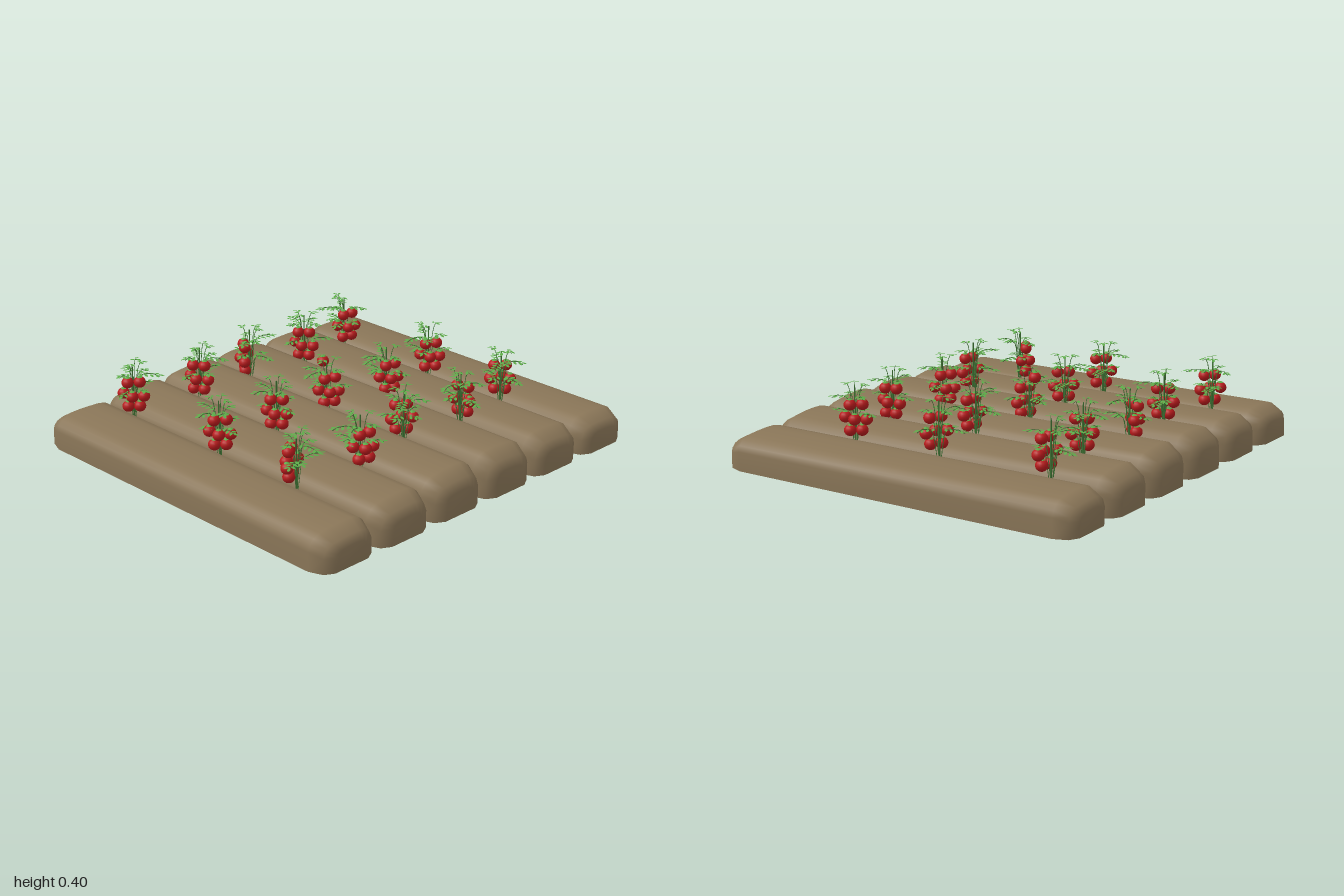
import * as THREE from 'three';
import { mergeGeometries } from 'three/addons/utils/BufferGeometryUtils.js';

const material = (name, color, side = THREE.FrontSide) => {
  const m = new THREE.MeshStandardMaterial({ color, side });
  m.name = name;
  return m;
};

// Soil mound: one arched section lofted along x, shrinking at both ends, open below
function moundGeometry(height) {
  const section = [[-1, 0], [-1, 0.55], [-0.95, 0.72], [-0.82, 0.86], [-0.6, 0.94], [-0.25, 0.98],
    [0.15, 1], [0.5, 0.99], [0.74, 0.93], [0.9, 0.8], [1, 0.55], [1, 0]];
  const ends = [[0.935, 0.095, 0.6], [0.91, 0.14, 0.8], [0.845, 0.165, 1]];
  const stations = [...ends.map(([x, w, t]) => [-x, w, t]), ...ends.slice().reverse()];
  const n = section.length, pos = [], idx = [];
  for (const [x, w, t] of stations)
    for (const [z, y] of section) pos.push(x, y * height * t, z * w);
  for (let i = 0; i < stations.length - 1; i++)
    for (let j = 0; j < n - 1; j++) {
      const a = i * n + j, c = a + n;
      idx.push(a, a + 1, c, a + 1, c + 1, c);
    }
  // End faces
  const last = (stations.length - 1) * n;
  for (let j = 1; j < n - 1; j++) {
    idx.push(0, j + 1, j);
    idx.push(last, last + j, last + j + 1);
  }
  const g = new THREE.BufferGeometry();
  g.setAttribute('position', new THREE.Float32BufferAttribute(pos, 3));
  g.setIndex(idx);
  g.computeVertexNormals();
  return g;
}

// Pointed flat leaflet growing along +x from the origin
function leafletGeometry() {
  const s = new THREE.Shape();
  s.moveTo(0, 0);
  s.quadraticCurveTo(0.014, 0.015, 0.032, 0);
  s.quadraticCurveTo(0.014, -0.015, 0, 0);
  return new THREE.ShapeGeometry(s, 3).rotateX(-Math.PI / 2);
}

const deg = Math.PI / 180;

// Plants: x, z, fruit direction, then directions of leaf arms (degrees from +x towards +z)
const plants = [
  [-0.62, -0.66, 0, 190, 120, 70, 330],
  [-0.04, -0.67, 20, 172, 100, 300, 50],
  [0.43, -0.67, 220, 5, 65, 180, 330],
  [-0.58, -0.34, 45, 310, 190, 95, 250],
  [0.01, -0.32, 0, 183, 95, 335, 130],
  [0.47, -0.34, 250, 10, 85, 180, 335],
  [-0.62, -0.01, 120, 350, 285, 185, 60],
  [-0.07, 0.0, 10, 205, 90, 315, 150],
  [0.43, 0.0, 200, 255, 55, 140, 320],
  [-0.61, 0.32, 50, 262, 330, 85, 210],
  [-0.05, 0.34, 40, 255, 180, 0, 120],
  [0.49, 0.34, 0, 172, 115, 310, 70],
  [-0.67, 0.68, 30, 255, 320, 70, 200],
  [-0.06, 0.68, 30, 255, 180, 0, 100],
  [0.43, 0.67, 140, 280, 358, 60, 200],
];

export function createModel() {
  const model = new THREE.Group();
  const soil = material('soil', 0x8a7658, THREE.DoubleSide);
  const leafGreen = material('leafGreen', 0x5cab48, THREE.DoubleSide);
  const stemGreen = material('stemGreen', 0x3f7434);
  const tomatoRed = material('tomatoRed', 0xb81a1c);

  const add = (parent, name, geometry, mat) => {
    const mesh = new THREE.Mesh(geometry, mat);
    mesh.name = name;
    parent.add(mesh);
    return mesh;
  };

  // Six parallel mounds, lower towards the edges of the plot
  [0.197, 0.184, 0.164].forEach((height, i) => {
    const g = moundGeometry(height);
    for (const side of [-1, 1]) {
      const mound = add(model, 'soilMound', g, soil);
      mound.position.z = side * (i + 0.5) * 0.3338;
      if (side > 0) mound.rotation.y = Math.PI;
    }
  });

  const leaflet = leafletGeometry();
  const fruit = new THREE.SphereGeometry(0.029, 14, 10).scale(1, 0.93, 1);
  const calyx = new THREE.ConeGeometry(0.015, 0.008, 5).translate(0, 0.028, 0);
  // Fruit on each truss: forward, sideways, height
  const truss = [[0.03, -0.025, 0.19], [0.02, 0.028, 0.19], [0.035, -0.045, 0.24], [0.045, 0.012, 0.245],
    [0.0, 0.045, 0.25], [0.03, -0.028, 0.31], [0.025, 0.028, 0.31]];

  for (const [px, pz, fruitAngle, ...arms] of plants) {
    const plant = new THREE.Group();
    plant.name = 'tomatoPlant';
    plant.position.set(px, 0, pz);
    model.add(plant);

    const leaves = [], stems = [];
    stems.push(new THREE.CylinderGeometry(0.003, 0.005, 0.39, 6).translate(0, 0.195, 0));

    // Leaf arm: a twig rising off the stem, bending outwards, with paired leaflets
    const growArm = (angle, y, length) => {
      const at = (r, h) => new THREE.Vector3(Math.cos(angle) * r, h, Math.sin(angle) * r);
      const curve = new THREE.CatmullRomCurve3([at(0, Math.max(0.02, y - 0.22)), at(0.018, y - 0.08),
        at(0.035, y - 0.005), at(length * 0.65, y + 0.006), at(length - 0.02, y - 0.006)]);
      stems.push(new THREE.TubeGeometry(curve, 10, 0.002, 4));
      const place = (r, turn, droop) => leaves.push(leaflet.clone().rotateZ(droop)
        .rotateY(-(angle + turn)).translate(Math.cos(angle) * r, y + 0.004, Math.sin(angle) * r));
      for (let r = 0.03; r < length - 0.025; r += 0.026)
        for (const s of [-1, 1]) place(r + s * 0.004, s * 58 * deg, -0.15);
      place(length - 0.03, 0, -0.2);
    };
    arms.forEach((a, k) => {
      growArm(a * deg, k % 2 ? 0.34 : 0.262, k < 2 ? 0.15 : 0.125);
      growArm((a + 22) * deg, k % 2 ? 0.265 : 0.345, 0.095);
    });
    for (const k of [0, 1, 2]) growArm((arms[k] - 15) * deg, 0.398, 0.075);

    add(plant, 'leaves', mergeGeometries(leaves), leafGreen);
    add(plant, 'stems', mergeGeometries(stems), stemGreen);

    // Fruit hangs on one side of the stem; the middle plant bears one more near the top
    const spots = px === -0.07 ? [...truss, [-0.045, -0.01, 0.37]] : truss;
    const turnFruit = (g) => mergeGeometries(spots.map(([f, s, y]) => g.clone().translate(f, y, s)))
      .rotateY(-fruitAngle * deg);
    add(plant, 'tomatoes', turnFruit(fruit), tomatoRed);
    add(plant, 'calyxes', turnFruit(calyx), leafGreen);
  }
  return model;
}
